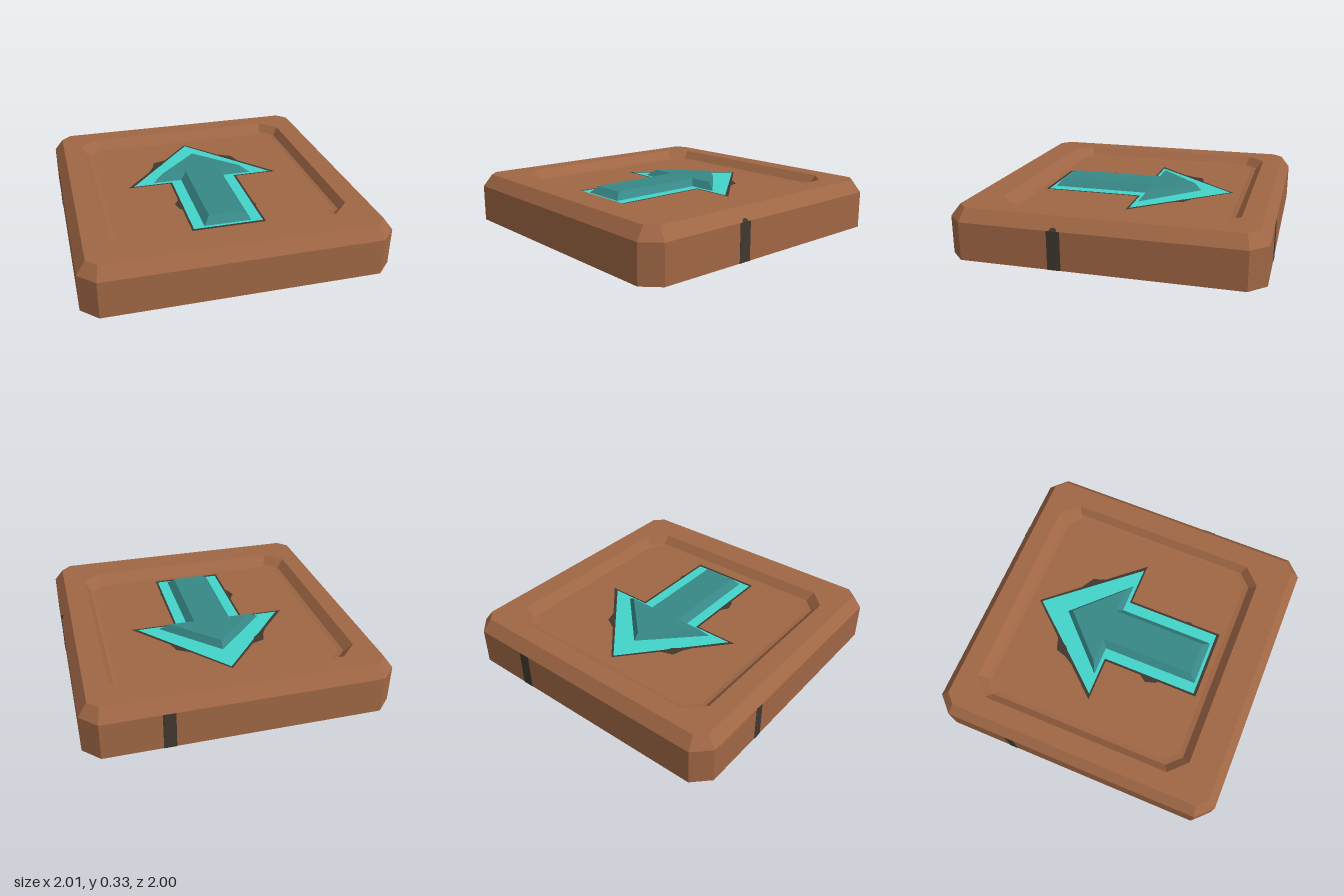
import * as THREE from 'three';

const mat = (name, color) => {
  const m = new THREE.MeshStandardMaterial({ color, flatShading: true, side: THREE.DoubleSide });
  m.name = name;
  return m;
};

// Rectangle with cut corners, counter-clockwise seen from above, as [x, z]
const octagon = (x0, x1, z0, z1, c) => [
  [x0 + c, z1], [x1 - c, z1], [x1, z1 - c], [x1, z0 + c],
  [x1 - c, z0], [x0 + c, z0], [x0, z0 + c], [x0, z1 - c],
];

// Arrow pointing to -z: stem half width, stem end, shoulder, wing half width, tip
const arrow = (w, end, shoulder, wing, tip) => [
  [-w, end], [w, end], [w, shoulder], [wing, shoulder],
  [0, tip], [-wing, shoulder], [-w, shoulder],
];

// Joins successive outlines, each { y, pts }, with bands of quads
function loft(rings) {
  const pos = [];
  for (let r = 0; r < rings.length - 1; r++) {
    const a = rings[r], b = rings[r + 1], n = a.pts.length;
    for (let i = 0; i < n; i++) {
      const j = (i + 1) % n;
      const p = (ring, k) => [ring.pts[k][0], ring.y, ring.pts[k][1]];
      pos.push(...p(a, i), ...p(a, j), ...p(b, j), ...p(a, i), ...p(b, j), ...p(b, i));
    }
  }
  const g = new THREE.BufferGeometry();
  g.setAttribute('position', new THREE.Float32BufferAttribute(pos, 3));
  g.computeVertexNormals();
  return g;
}

// Flat horizontal face at height y, optionally with a hole
function cap(pts, y, hole) {
  const v = (list) => list.map(([x, z]) => new THREE.Vector2(x, -z));
  const s = new THREE.Shape(v(pts));
  if (hole) s.holes.push(new THREE.Path(v(hole)));
  return new THREE.ShapeGeometry(s).rotateX(-Math.PI / 2).translate(0, y, 0);
}

export function createModel() {
  const group = new THREE.Group();
  const brown = mat('brown', 0xa06745);
  const teal = mat('bright teal', 0x44d4ca);
  const darkTeal = mat('dark teal', 0x378887);
  const soot = mat('dark grey', 0x40382f);
  const add = (name, geo, m) => {
    const mesh = new THREE.Mesh(geo, m);
    mesh.name = name;
    group.add(mesh);
    return mesh;
  };

  const floorY = 0.268;
  const topY = 0.33;
  const base = octagon(-1, 1, -1, 1, 0.105);
  const rimOuter = octagon(-0.94, 0.94, -0.94, 0.94, 0.065);
  const rimInner = octagon(-0.81, 0.79, -0.81, 0.74, 0.115);
  const stepEdge = octagon(-0.76, 0.755, -0.76, 0.69, 0.09);
  const floorEdge = octagon(-0.73, 0.735, -0.725, 0.655, 0.075);

  const arrowEdge = arrow(0.245, 0.62, -0.05, 0.545, -0.67);
  const ringOuter = arrow(0.23, 0.6, -0.062, 0.505, -0.65);
  const ringInner = arrow(0.157, 0.58, -0.085, 0.36, -0.445);
  const arrowTop = arrow(0.115, 0.535, -0.12, 0.29, -0.405);

  // Open-bottomed tile with bevelled rim and sunken panel
  add('tileShell', loft([
    { y: 0, pts: base }, { y: 0.25, pts: base }, { y: topY, pts: rimOuter },
    { y: topY, pts: rimInner }, { y: 0.275, pts: stepEdge }, { y: floorY, pts: floorEdge },
  ]), brown);
  add('panelFloor', cap(floorEdge, floorY, arrowEdge), brown);

  // Arrow: dark outline, bright border, raised bevelled centre
  add('arrowOutline', loft([{ y: floorY, pts: arrowEdge }, { y: floorY, pts: ringOuter }]), soot);
  add('arrowBorder', loft([{ y: floorY, pts: ringOuter }, { y: floorY, pts: ringInner }]), teal);
  add('arrowBevel', loft([{ y: floorY, pts: ringInner }, { y: 0.315, pts: arrowTop }]), darkTeal);
  add('arrowTop', cap(arrowTop, 0.315), darkTeal);

  // Dark smudges beside the arrow
  const smudges = [
    [[-0.36, -0.26], [-0.25, -0.35], [-0.21, -0.43], [-0.3, -0.4], [-0.32, -0.33]],
    [[0.33, -0.29], [0.3, -0.38], [0.21, -0.43], [0.25, -0.36]],
    [[-0.24, 0.35], [-0.24, 0.2], [-0.28, 0.26], [-0.26, 0.33]],
    [[0.24, 0.41], [0.25, 0.41], [0.25, 0.37], [0.24, 0.37]],
  ];
  smudges.forEach((pts) => add('smudge', cap(pts, floorY + 0.002), soot));

  // Dark marks on the side walls: x, z, size along x, size along z
  const t = 0.005;
  [
    [1, 0.27, t, 0.085],
    [-1, -0.44, t, 0.06],
    [0.48, -1, 0.08, t],
  ].forEach(([x, z, sx, sz]) => {
    add('wallMark', new THREE.BoxGeometry(sx, 0.25, sz), soot).position.set(x, 0.125, z);
  });
  // Rounded end of the right mark on the bevel
  const end = add('wallMarkEnd', new THREE.CircleGeometry(0.025, 8, 0, Math.PI), soot);
  end.rotation.order = 'YXZ';
  end.rotation.set(-Math.atan2(0.06, 0.08), Math.PI / 2, 0);
  end.position.set(1.002, 0.25, 0.27);

  return group;
}
